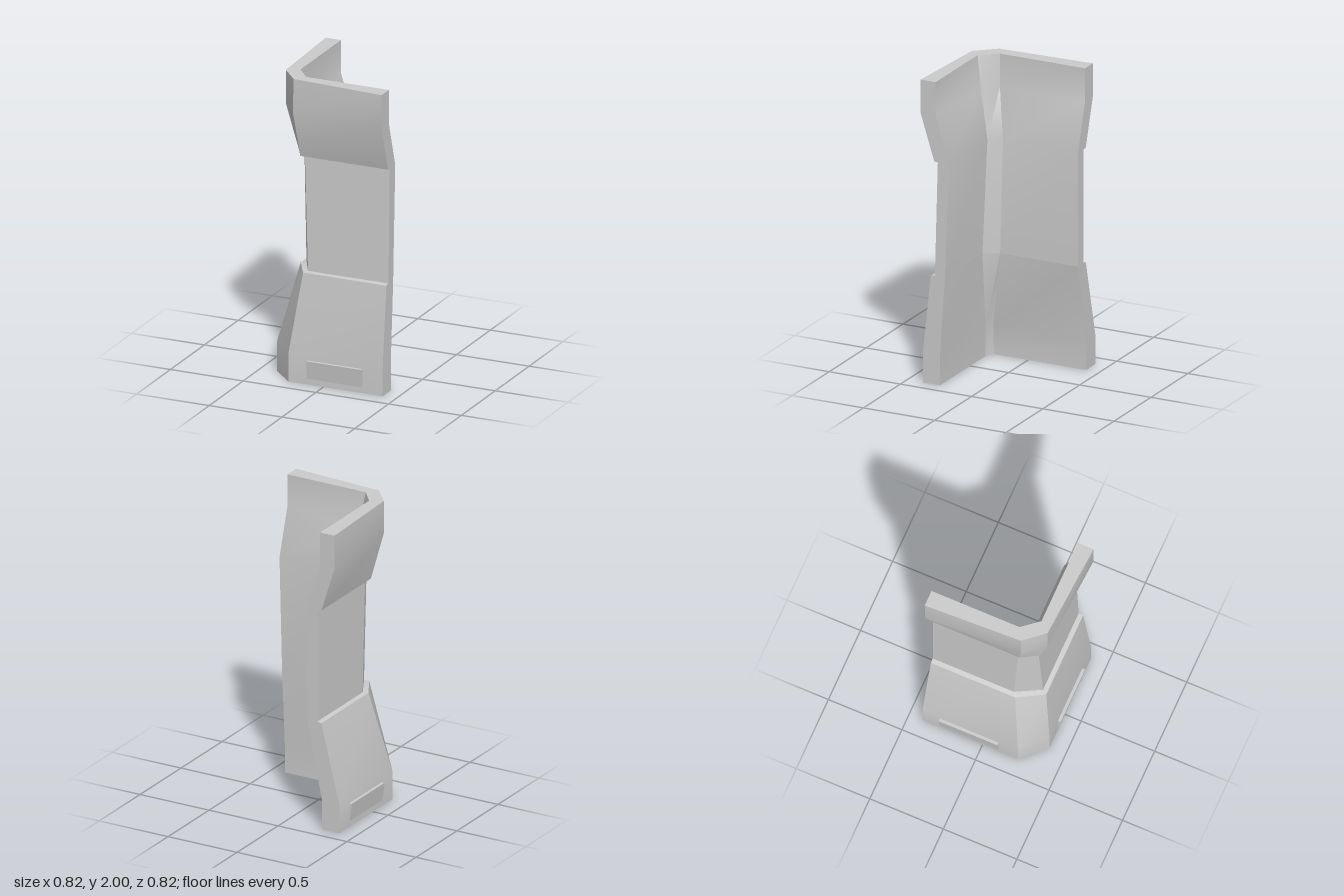
import * as THREE from 'three';
import { toCreasedNormals } from 'three/addons/utils/BufferGeometryUtils.js';

const END = 0.408; // free end of both wings
const grey = () => new THREE.MeshStandardMaterial({ color: 0xcccccc });

// Plan of the angled shell at one height:
// outer side end, two outer corner points, outer front end, inner front end,
// two inner corner points, inner side end
function ring({ y, ax, b, c, dz, ez, g, f }) {
  return [[ax, -END], b, c, [END, dz], [END, ez], g, f, [f[0], -END]]
    .map(([x, z]) => new THREE.Vector3(x, y, z));
}

const sections = [
  // flared foot
  { y: 0, ax: -0.39, b: [-0.39, 0.24], c: [-0.24, 0.39], dz: 0.39, ez: 0.27, g: [-0.21, 0.27], f: [-0.265, 0.24] },
  { y: 0.19, ax: -0.39, b: [-0.39, 0.24], c: [-0.24, 0.39], dz: 0.39, ez: 0.27, g: [-0.21, 0.27], f: [-0.265, 0.245] },
  { y: 0.715, ax: -0.26, b: [-0.26, 0.165], c: [-0.165, 0.335], dz: 0.335, ez: 0.235, g: [-0.1, 0.235], f: [-0.157, 0.14] },
  // recessed middle
  { y: 0.72, ax: -0.23, b: [-0.23, 0.145], c: [-0.145, 0.305], dz: 0.305, ez: 0.235, g: [-0.1, 0.235], f: [-0.157, 0.14] },
  { y: 1.47, ax: -0.23, b: [-0.23, 0.175], c: [-0.175, 0.285], dz: 0.285, ez: 0.205, g: [-0.11, 0.205], f: [-0.155, 0.12] },
  // flared top
  { y: 1.475, ax: -0.26, b: [-0.26, 0.195], c: [-0.195, 0.31], dz: 0.31, ez: 0.205, g: [-0.11, 0.205], f: [-0.155, 0.12] },
  { y: 1.78, ax: -0.355, b: [-0.33, 0.235], c: [-0.22, 0.368], dz: 0.406, ez: 0.3, g: [-0.135, 0.263], f: [-0.25, 0.19] },
  { y: 2, ax: -0.355, b: [-0.33, 0.235], c: [-0.215, 0.367], dz: 0.406, ez: 0.3, g: [-0.16, 0.3], f: [-0.25, 0.19] },
];

function shellGeometry() {
  const rings = sections.map(ring);
  const pos = [];
  const quad = (a, b, c, d) => {
    for (const p of [a, b, c, a, c, d]) pos.push(p.x, p.y, p.z);
  };
  // walls
  for (let r = 0; r < rings.length - 1; r++) {
    const lo = rings[r], hi = rings[r + 1];
    for (let i = 0; i < 8; i++) {
      const j = (i + 1) % 8;
      quad(lo[i], lo[j], hi[j], hi[i]);
    }
  }
  // top and bottom caps, each in three strips across the thickness
  const top = rings[rings.length - 1], bottom = rings[0];
  for (const [a, b, c, d] of [[0, 1, 6, 7], [1, 2, 5, 6], [2, 3, 4, 5]]) {
    quad(top[a], top[b], top[c], top[d]);
    quad(bottom[d], bottom[c], bottom[b], bottom[a]);
  }
  const geo = new THREE.BufferGeometry();
  geo.setAttribute('position', new THREE.Float32BufferAttribute(pos, 3));
  return toCreasedNormals(geo, 0.4);
}

// Plate whose outer face leans outward toward its top edge
function plate(name, length) {
  const h = 0.12, depth = 0.03;
  const geo = new THREE.BoxGeometry(length, h, depth);
  const p = geo.attributes.position;
  for (let i = 0; i < p.count; i++) {
    if (p.getZ(i) > 0 && p.getY(i) < 0) p.setZ(i, p.getZ(i) - 0.015);
  }
  geo.computeVertexNormals();
  const mesh = new THREE.Mesh(geo, grey());
  mesh.name = name;
  return mesh;
}

export function createModel() {
  const model = new THREE.Group();
  model.name = 'cornerPanel';

  const shell = new THREE.Mesh(shellGeometry(), grey());
  shell.name = 'cornerShell';
  model.add(shell);

  const front = plate('frontPlate', 0.38);
  front.position.set(0.08, 0.1, 0.395);
  model.add(front);

  const side = plate('sidePlate', 0.4);
  side.rotation.y = -Math.PI / 2;
  side.position.set(-0.395, 0.1, -0.09);
  model.add(side);

  return model;
}
